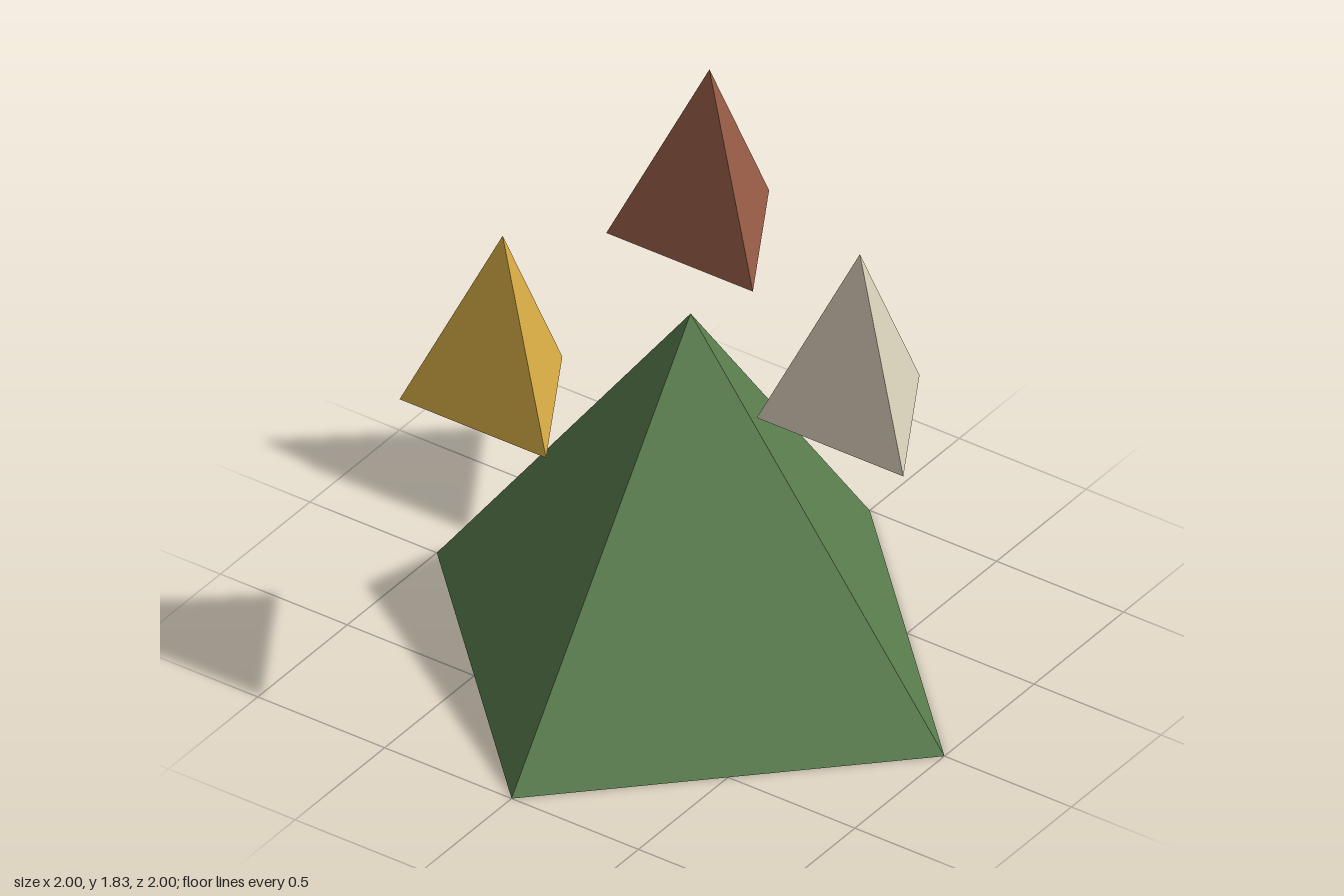
import * as THREE from 'three';

const material = (name, color) => {
  const m = new THREE.MeshStandardMaterial({ color });
  m.name = name;
  return m;
};

// Flat-faced pyramid standing on y = base
function pyramid(name, mat, sides, radius, height, base) {
  const geometry = new THREE.ConeGeometry(radius, height, sides).toNonIndexed();
  geometry.computeVertexNormals();
  const mesh = new THREE.Mesh(geometry, mat);
  mesh.name = name;
  mesh.position.y = base + height / 2;
  return mesh;
}

export function createModel() {
  const model = new THREE.Group();
  model.name = 'pyramids';

  // Large square pyramid, corners on the axes
  model.add(pyramid('mainPyramid', material('green', 0x5a7e4e), 4, 1, 4 / 3, 0));

  // Three small triangular pyramids floating in a ring, each with a corner to the back
  const ring = [
    ['creamPyramid', material('cream', 0xdbd3bb)],
    ['goldPyramid', material('gold', 0xdaae46)],
    ['brownPyramid', material('brown', 0x9a5d48)],
  ];
  ring.forEach(([name, mat], i) => {
    const angle = (i * Math.PI * 2) / 3;
    const small = pyramid(name, mat, 3, 1 / 3, 0.66, 1.17);
    small.position.x = Math.cos(angle) * 2 / 3;
    small.position.z = Math.sin(angle) * 2 / 3;
    small.rotation.y = Math.PI;
    model.add(small);
  });

  return model;
}
